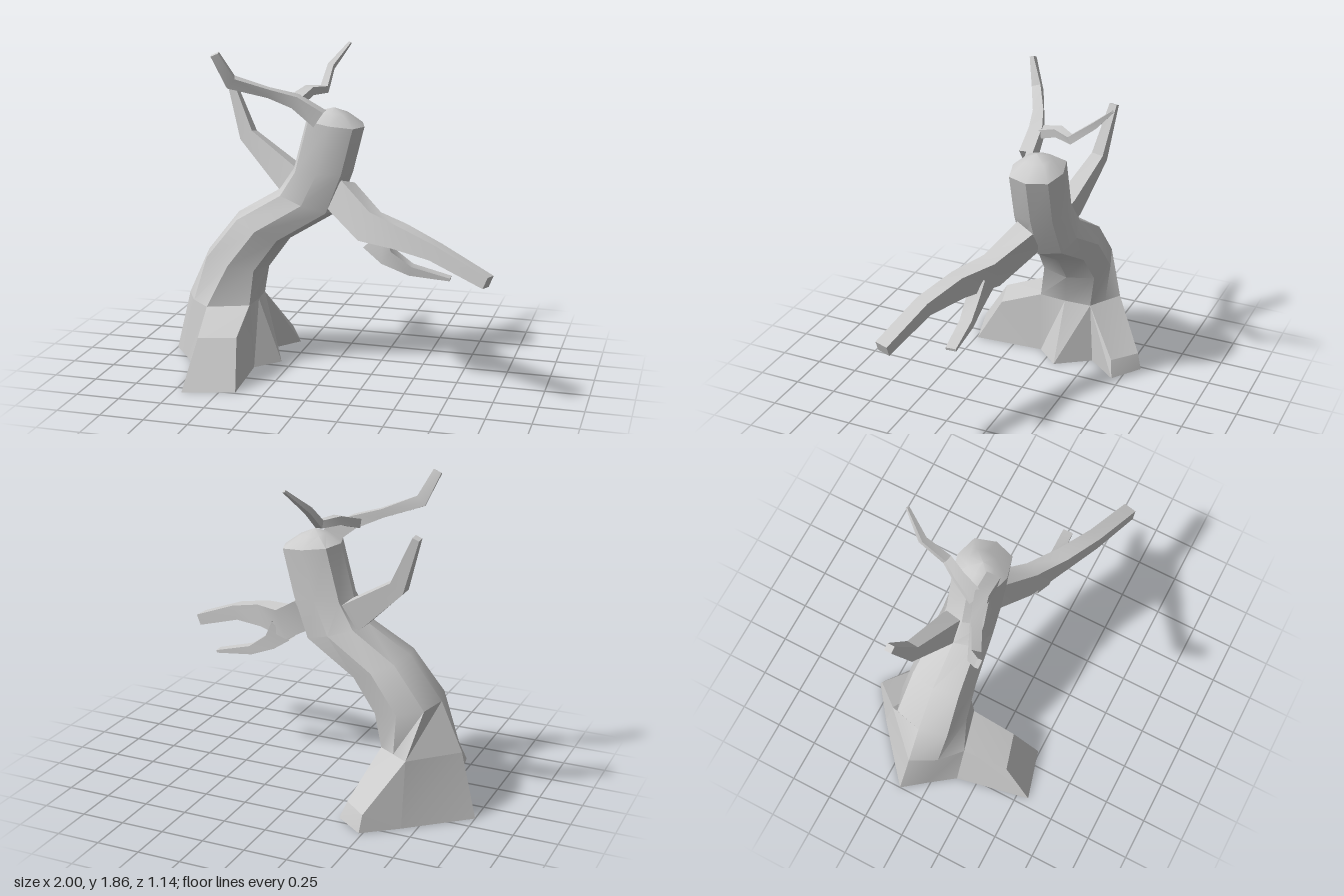
import * as THREE from 'three';
import { toCreasedNormals } from 'three/addons/utils/BufferGeometryUtils.js';

const material = new THREE.MeshStandardMaterial({ color: 0xcccccc, side: THREE.DoubleSide });
const V = (p) => new THREE.Vector3(p[0], p[1], p[2]);

// Skin a list of cross-sections; closed joins each ring to itself, cap fills the last ring
function loft(name, rings, { closed = true, cap = false, crease = 0.5 } = {}) {
  const pos = [];
  const tri = (a, b, c) => {
    const area = b.clone().sub(a).cross(c.clone().sub(a)).length();
    if (area > 1e-7) for (const p of [a, b, c]) pos.push(p.x, p.y, p.z);
  };
  const n = rings[0].length;
  for (let i = 0; i < rings.length - 1; i++) {
    for (let j = 0; j < (closed ? n : n - 1); j++) {
      const k = (j + 1) % n;
      tri(rings[i][j], rings[i][k], rings[i + 1][k]);
      tri(rings[i][j], rings[i + 1][k], rings[i + 1][j]);
    }
  }
  if (cap) {
    const r = rings[rings.length - 1];
    for (let j = 1; j < n - 1; j++) tri(r[0], r[j], r[j + 1]);
  }
  const geometry = new THREE.BufferGeometry();
  geometry.setAttribute('position', new THREE.Float32BufferAttribute(pos, 3));
  const mesh = new THREE.Mesh(toCreasedNormals(geometry, crease), material);
  mesh.name = name;
  return mesh;
}

// Full-cornered eight-sided trunk ring from its left and right ends, centre depth and half depth
function trunkRing([x0, y0, x1, y1, z, d]) {
  const full = (c) => Math.sign(c) * Math.abs(c) ** 0.75;
  return Array.from({ length: 8 }, (_, i) => {
    const a = (i / 8) * Math.PI * 2;
    const t = (1 + full(Math.cos(a))) / 2;
    return new THREE.Vector3(x0 + (x1 - x0) * t, y0 + (y1 - y0) * t, z - d * full(Math.sin(a)));
  });
}

// Four-sided tapering branch; each station is [x, y, z, half width along ref, half height]
function branch(name, ref, stations) {
  const pts = stations.map(V);
  const rings = stations.map((s, i) => {
    const dir = pts[Math.min(i + 1, pts.length - 1)].clone().sub(pts[Math.max(i - 1, 0)]).normalize();
    const a = V(ref).addScaledVector(dir, -dir.dot(V(ref))).normalize();
    const b = dir.clone().cross(a);
    return [[1, 1], [-1, 1], [-1, -1], [1, -1]].map(([u, v]) =>
      pts[i].clone().addScaledVector(a, u * s[3]).addScaledVector(b, v * s[4]));
  });
  return loft(name, rings, { cap: true });
}

// Flared root, open below: trunk outline, shoulder edge and ground edge
function root(name, trunk, shoulder, end) {
  const [l, r] = end;
  const sections = [trunk, [l, shoulder[0], shoulder[1], r], [l, l, r, r]];
  return loft(name, sections.map((s) => s.map(V).reverse()), { closed: false, crease: 0.3 });
}

export function createModel() {
  const tree = new THREE.Group();
  tree.name = 'bareTree';

  // Collar where the roots meet the trunk, counted from +x towards the back
  const collar = [
    [-0.455, 0.375, -0.08], [-0.47, 0.37, -0.24], [-0.565, 0.37, -0.3], [-0.66, 0.37, -0.36],
    [-0.9, 0.37, -0.12], [-0.82, 0.37, 0.03], [-0.7, 0.37, 0.14], [-0.46, 0.38, 0.08],
  ];

  // Leaning trunk with a shallow domed top
  tree.add(loft('trunk', [collar.map(V), ...[
    [-0.77, 0.65, -0.4, 0.57, -0.11, 0.21],
    [-0.58, 0.89, -0.27, 0.75, -0.11, 0.19],
    [-0.33, 1.04, 0.02, 0.93, -0.11, 0.16],
    [-0.24, 1.17, 0.11, 1.17, -0.1, 0.15],
    [-0.16, 1.47, 0.175, 1.43, -0.1, 0.15],
    [-0.07, 1.515, 0.08, 1.5, -0.1, 0.075],
    [0, 1.535, 0, 1.535, -0.09, 0],
  ].map(trunkRing)], { crease: 0.6 }));

  // Flared trunk base between the roots
  const outerGround = [[-0.67, 0, -0.43], [-1, 0, -0.15], [-0.9, 0, -0.02], [-0.79, 0, 0.13]];
  const innerGround = [[-0.44, 0, 0.07], [-0.315, 0, -0.07], [-0.45, 0, -0.27]];
  const outerCollar = [3, 4, 5, 6].map((i) => collar[i]);
  const innerCollar = [7, 0, 1].map((i) => collar[i]);
  tree.add(loft('outerBase', [outerGround.map(V), outerCollar.map(V)], { closed: false }));
  tree.add(loft('innerBase', [innerGround.map(V), innerCollar.map(V)], { closed: false }));

  // Roots
  tree.add(root('frontRoot',
    [outerGround[3], collar[6], collar[7], innerGround[0]],
    [[-0.66, 0.27, 0.4], [-0.45, 0.27, 0.34]],
    [[-0.7, 0, 0.57], [-0.41, 0, 0.49]]));
  tree.add(root('backRoot',
    [innerGround[2], collar[1], collar[3], outerGround[0]],
    [[-0.35, 0.1, -0.43], [-0.49, 0.1, -0.55]],
    [[-0.31, 0, -0.45], [-0.48, 0, -0.575]]));

  // Long drooping limb and its twig
  tree.add(branch('longBranch', [0, 0, 1], [
    [0.04, 1.045, -0.06, 0.065, 0.09],
    [0.25, 0.9, 0.07, 0.05, 0.09],
    [0.45, 0.885, 0.18, 0.045, 0.067],
    [0.67, 0.84, 0.28, 0.042, 0.045],
    [0.975, 0.72, 0.37, 0.04, 0.034],
  ]));
  tree.add(branch('longBranchTwig', [0, 0, 1], [
    [0.29, 0.84, 0.1, 0.035, 0.075],
    [0.37, 0.75, 0.12, 0.04, 0.045],
    [0.5, 0.68, 0.11, 0.035, 0.026],
    [0.72, 0.642, 0.095, 0.03, 0.008],
  ]));

  // Upswept limb on the outer side of the bend
  tree.add(branch('sideBranch', [0, 0, 1], [
    [-0.2, 1.04, -0.13, 0.05, 0.09],
    [-0.3, 1.115, -0.17, 0.05, 0.08],
    [-0.56, 1.32, -0.24, 0.035, 0.045],
    [-0.67, 1.61, -0.28, 0.022, 0.02],
  ]));

  // Crown limb and its forked twig
  tree.add(branch('crownBranch', [0, 0, 1], [
    [-0.06, 1.48, -0.01, 0.04, 0.05],
    [-0.2, 1.575, 0.0, 0.038, 0.036],
    [-0.34, 1.625, 0.05, 0.03, 0.024],
    [-0.53, 1.69, 0.14, 0.026, 0.035],
    [-0.6, 1.85, 0.2, 0.012, 0.024],
  ]));
  tree.add(branch('crownTwig', [1, 0, 0], [
    [-0.21, 1.57, -0.02, 0.04, 0.025],
    [-0.16, 1.615, -0.15, 0.03, 0.024],
    [-0.1, 1.61, -0.25, 0.022, 0.022],
    [-0.1, 1.72, -0.39, 0.018, 0.018],
    [-0.02, 1.845, -0.515, 0.008, 0.007],
  ]));

  return tree;
}
